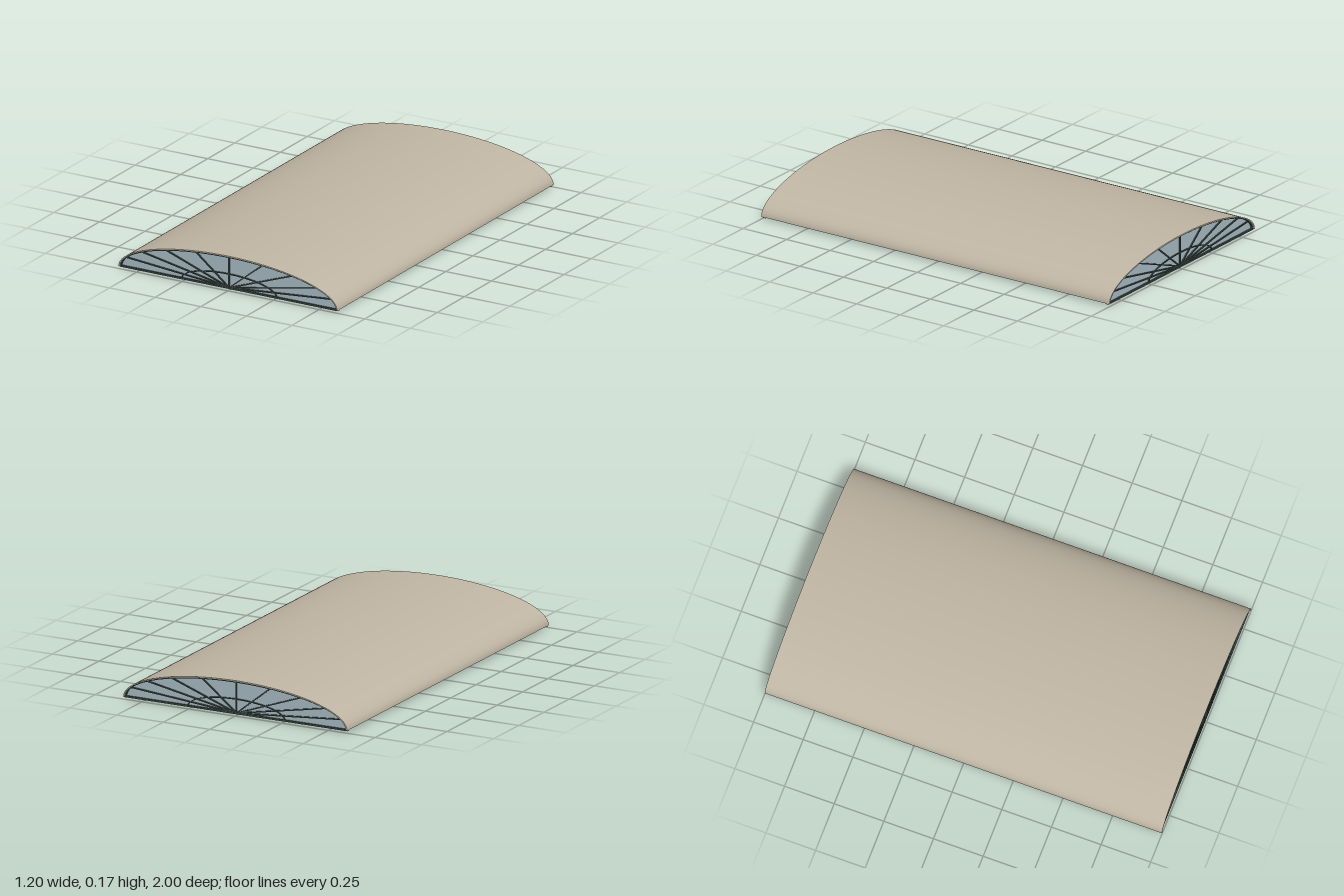
import * as THREE from 'three';
import { toCreasedNormals } from 'three/addons/utils/BufferGeometryUtils.js';

const BASE = 0.012; // springing line of the vault

// Point on a half ellipse; t runs from 0 (+x) to PI (-x)
const arc = (a, b, t) => new THREE.Vector2(a * Math.cos(t), BASE + b * Math.sin(t));

function arcPoints(a, b, n = 48) {
  return Array.from({ length: n + 1 }, (_, i) => arc(a, b, (Math.PI * i) / n));
}

// Curved band between two half ellipses, centred on z = 0
function archBand(a, b, thick, depth) {
  const shape = new THREE.Shape([...arcPoints(a, b), ...arcPoints(a - thick, b - thick).reverse()]);
  const geo = new THREE.ExtrudeGeometry(shape, { depth, bevelEnabled: false });
  geo.translate(0, 0, -depth / 2);
  return toCreasedNormals(geo, 0.6);
}

export function createModel() {
  const root = new THREE.Group();
  root.name = 'vaultedRoof';
  const roofMat = new THREE.MeshStandardMaterial({ color: 0xc0b6a4 });
  roofMat.name = 'warm beige roofing';
  const steelMat = new THREE.MeshStandardMaterial({ color: 0x3a4a46 });
  steelMat.name = 'dark green steel';
  const glassMat = new THREE.MeshStandardMaterial({ color: 0xa6bac2, side: THREE.DoubleSide });
  glassMat.name = 'pale blue glass';

  const add = (parent, name, geo, mat, x = 0, y = 0, z = 0) => {
    const mesh = new THREE.Mesh(geo, mat);
    mesh.name = name;
    mesh.position.set(x, y, z);
    parent.add(mesh);
    return mesh;
  };
  // Straight steel bar between two points of an upright plane
  const bar = (parent, name, p, q, width, depth) => {
    const mesh = add(parent, name, new THREE.BoxGeometry(p.distanceTo(q), width, depth), steelMat,
      (p.x + q.x) / 2, (p.y + q.y) / 2);
    mesh.rotation.z = Math.atan2(q.y - p.y, q.x - p.x);
  };

  // Vault shell
  add(root, 'roofShell', archBand(0.6, 0.163, 0.007, 2), roofMat);

  // Purlins running under the shell
  for (let i = 1; i < 15; i++) {
    const p = arc(0.591, 0.154, (Math.PI * i) / 15);
    add(root, 'purlin', new THREE.BoxGeometry(0.006, 0.006, 1.95), steelMat, p.x, p.y, 0);
  }

  // Glazed fan windows closing both ends
  const rim = archBand(0.594, 0.157, 0.006, 0.016);
  const ring = archBand(0.262, 0.071, 0.005, 0.012);
  const pane = new THREE.ShapeGeometry(new THREE.Shape(arcPoints(0.592, 0.155)));
  for (const z of [-0.985, 0.985]) {
    const end = new THREE.Group();
    end.name = z > 0 ? 'frontFanWindow' : 'backFanWindow';
    end.position.z = z;
    root.add(end);
    add(end, 'glass', pane, glassMat);
    add(end, 'archFrame', rim, steelMat);
    add(end, 'innerRing', ring, steelMat);
    add(end, 'sill', new THREE.BoxGeometry(1.196, 0.008, 0.018), steelMat, 0, BASE);
    for (let k = 1; k < 10; k++) {
      bar(end, 'glazingBar', new THREE.Vector2(0, BASE), arc(0.59, 0.154, (k * Math.PI) / 10), 0.006, 0.012);
    }
  }

  // Bowstring trusses
  const rib = archBand(0.588, 0.151, 0.012, 0.014);
  const half = 0.545, panels = 10;
  for (const z of [-0.93, -0.58, -0.193, 0.193, 0.58, 0.93]) {
    const truss = new THREE.Group();
    truss.name = 'truss';
    truss.position.z = z;
    root.add(truss);
    add(truss, 'topChord', rib, steelMat);
    add(truss, 'bottomChord', new THREE.BoxGeometry(half * 2, 0.01, 0.014), steelMat, 0, 0.005);
    const node = (i) => {
      const x = -half + (2 * half * i) / panels;
      return i % 2 ? arc(0.582, 0.145, Math.acos(x / 0.582)) : new THREE.Vector2(x, 0.006);
    };
    for (let i = 0; i < panels; i++) bar(truss, 'webMember', node(i), node(i + 1), 0.009, 0.01);
    for (const s of [-1, 1]) {
      bar(truss, 'endPost', new THREE.Vector2(s * half, 0.004),
        arc(0.582, 0.145, Math.acos((s * half) / 0.582)), 0.009, 0.01);
    }
  }

  // Tie joining the two middle trusses
  add(root, 'centreTie', new THREE.BoxGeometry(0.012, 0.01, 0.386), steelMat, 0, 0.006, 0);
  return root;
}
